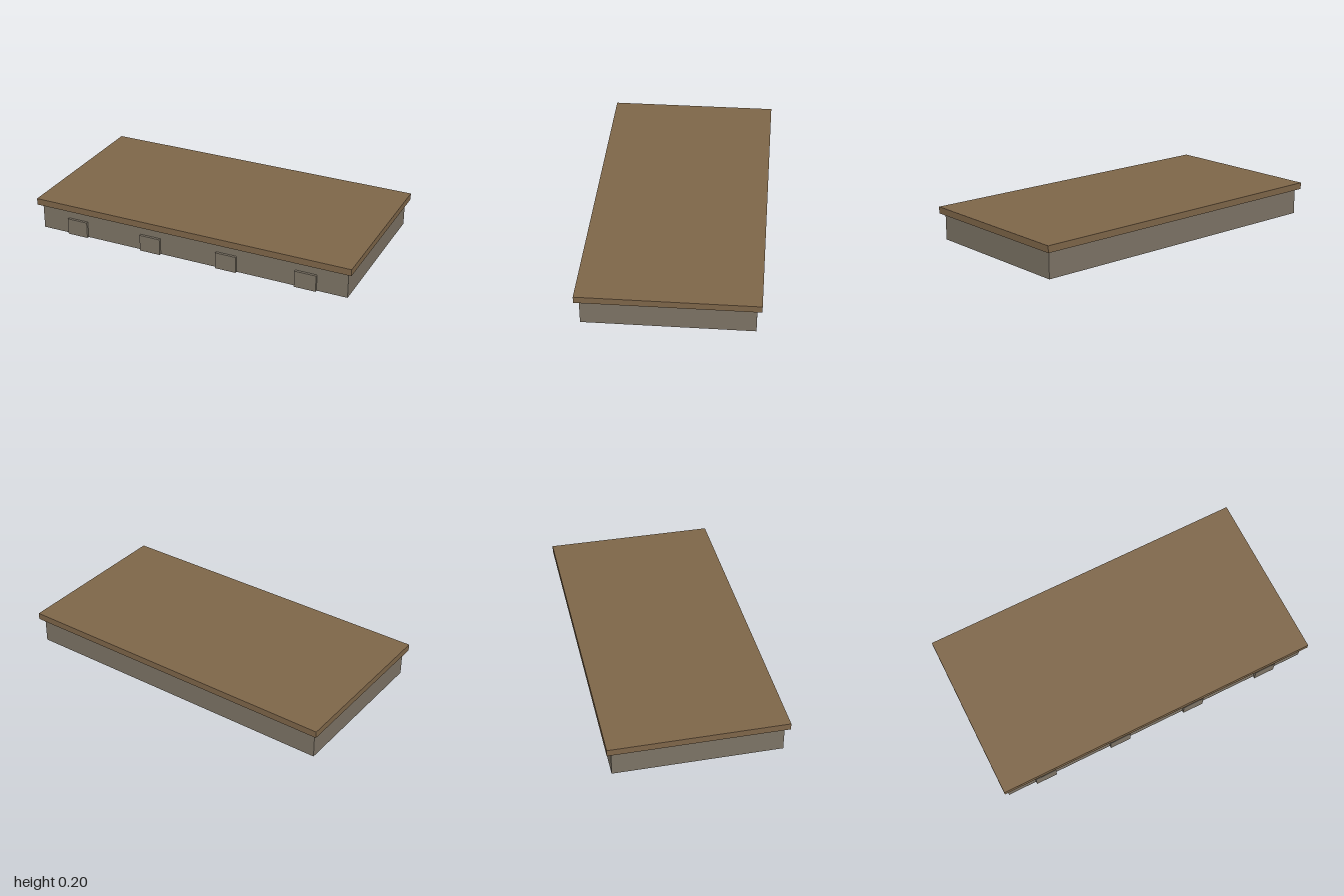
import * as THREE from 'three';

export function createModel() {
  const model = new THREE.Group();
  const stone = new THREE.MeshStandardMaterial({ color: 0x7b7264, side: THREE.DoubleSide });
  stone.name = 'grey stone';
  const wood = new THREE.MeshStandardMaterial({ color: 0x7d6548 });
  wood.name = 'brown wood';

  function add(name, geometry, material, x, y, z) {
    const mesh = new THREE.Mesh(geometry, material);
    mesh.name = name;
    mesh.position.set(x, y, z);
    model.add(mesh);
  }

  // Box with one face left out (0 +x, 1 -x, 2 +y, 3 -y, 4 +z, 5 -z)
  function openBox(w, h, d, face) {
    const geometry = new THREE.BoxGeometry(w, h, d);
    const index = Array.from(geometry.index.array);
    index.splice(face * 6, 6);
    geometry.setIndex(index);
    geometry.clearGroups();
    return geometry;
  }

  // Thin-walled base, hollow and open underneath
  const baseHeight = 0.156;
  add('base', openBox(1.95, baseHeight, 0.97, 3), stone, 0, baseHeight / 2, 0);

  // Overhanging deck slab
  add('deck', new THREE.BoxGeometry(2, 0.04, 1.024), wood, 0, 0.1775, 0);

  // Four shallow blocks along the front wall
  for (let i = 0; i < 4; i++) {
    add('frontBlock' + (i + 1), openBox(0.13, 0.1, 0.015, 5), stone, -0.734 + i * 0.487, 0.05, 0.4925);
  }
  return model;
}
